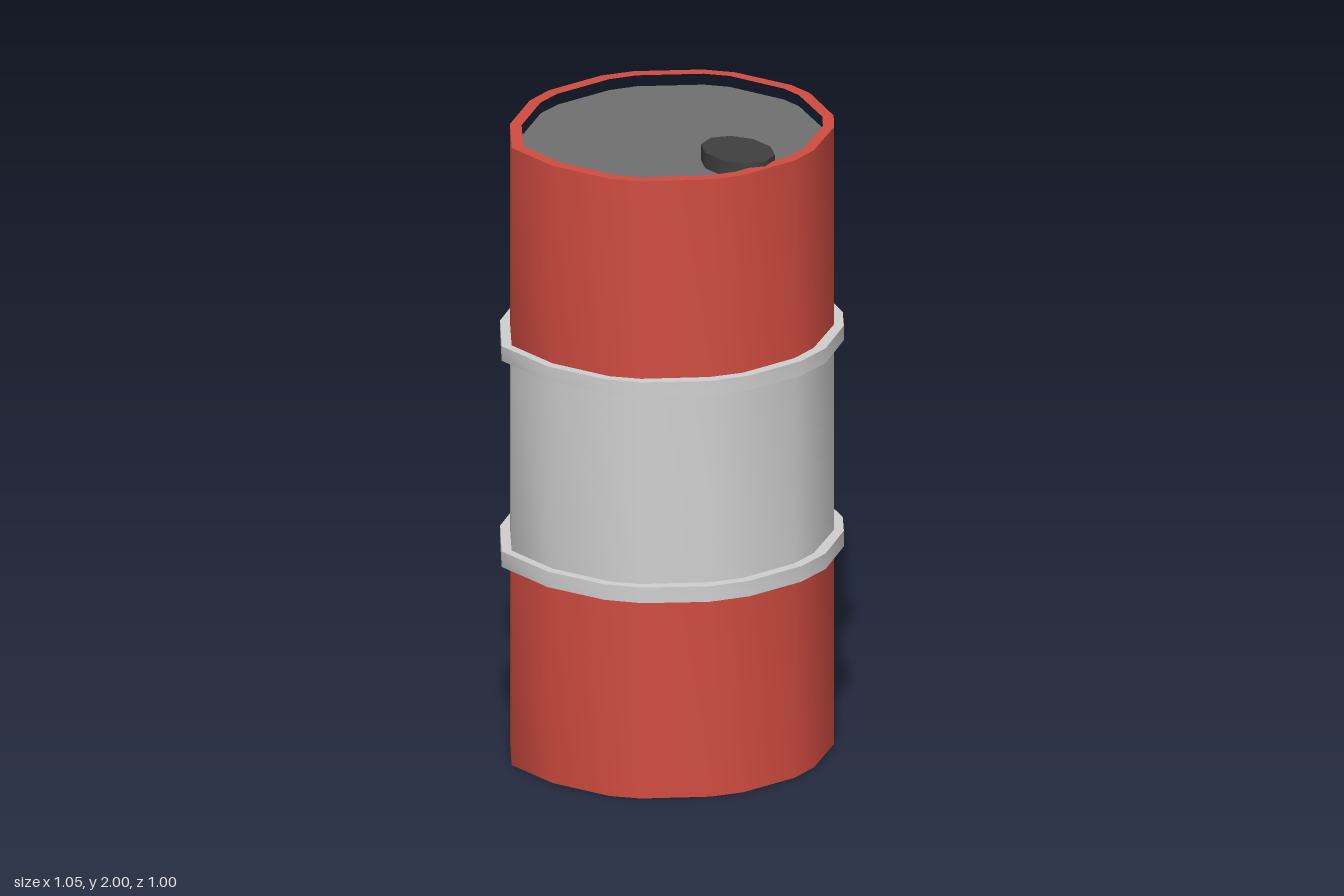
import * as THREE from 'three';
import { toCreasedNormals } from 'three/addons/utils/BufferGeometryUtils.js';

const material = (name, color) => {
  const m = new THREE.MeshStandardMaterial({ color });
  m.name = name;
  return m;
};

// Right half of each outline as [x, z], running from back to front
const WALL = [[0.1, -0.47], [0.2, -0.438], [0.373, -0.318], [0.433, -0.238], [0.497, -0.048],
  [0.497, 0.042], [0.433, 0.235], [0.373, 0.312], [0.2, 0.43], [0.1, 0.463]];
const HOOP = [[0.1, -0.5], [0.225, -0.462], [0.39, -0.344], [0.46, -0.25], [0.525, -0.06],
  [0.525, 0.054], [0.46, 0.245], [0.39, 0.338], [0.225, 0.456], [0.1, 0.495]];
const INNER = [[0.1, -0.43], [0.185, -0.404], [0.352, -0.288], [0.4, -0.225], [0.46, -0.038],
  [0.46, 0.034], [0.4, 0.222], [0.352, 0.284], [0.185, 0.398], [0.1, 0.425]];

// Mirrors a half outline; the left back corner is dented: one point fewer, the next pushed back
function outline(half, dentZ) {
  const left = half.map(([x, z], i) => [-x, i === 4 ? dentZ : z]).filter((_, i) => i !== 3);
  return [...half, ...left.reverse()].map(([x, z]) => new THREE.Vector2(x, -z));
}

const wall = outline(WALL, -0.155);
const hoop = outline(HOOP, -0.168);
const inner = outline(INNER, -0.144);

// Upright prism between two heights, smooth around its side
function prism(name, points, y0, y1, mat, hole) {
  const shape = new THREE.Shape(points);
  if (hole) shape.holes.push(new THREE.Path(hole));
  const geo = new THREE.ExtrudeGeometry(shape, { depth: y1 - y0, bevelEnabled: false });
  geo.rotateX(-Math.PI / 2).translate(0, y0, 0);
  const mesh = new THREE.Mesh(toCreasedNormals(geo, 0.8), mat);
  mesh.name = name;
  return mesh;
}

export function createModel() {
  const red = material('red paint', 0xd14c41);
  const grey = material('light grey', 0xd0d0d0);
  const lidGrey = material('lid grey', 0x707070);
  const dark = material('dark cap', 0x404040);

  const barrel = new THREE.Group();
  barrel.name = 'barrel';

  // Body bands, with a raised rim around the top
  barrel.add(prism('lowerBody', wall, 0, 0.665, red));
  barrel.add(prism('middleBand', wall, 0.665, 1.33, grey));
  barrel.add(prism('upperBody', wall, 1.33, 1.985, red, inner));

  // Hoops
  barrel.add(prism('lowerHoop', hoop, 0.64, 0.69, grey));
  barrel.add(prism('upperHoop', hoop, 1.303, 1.35, grey));

  // Recessed lid
  barrel.add(prism('lid', inner, 1.92, 1.95, lidGrey));

  // Oval filler cap near the front
  const cap = new THREE.Mesh(new THREE.CylinderGeometry(1, 1, 0.06, 10), dark);
  cap.name = 'fillerCap';
  cap.scale.set(0.098, 1, 0.131);
  cap.position.set(0, 1.97, 0.314);
  barrel.add(cap);

  return barrel;
}
